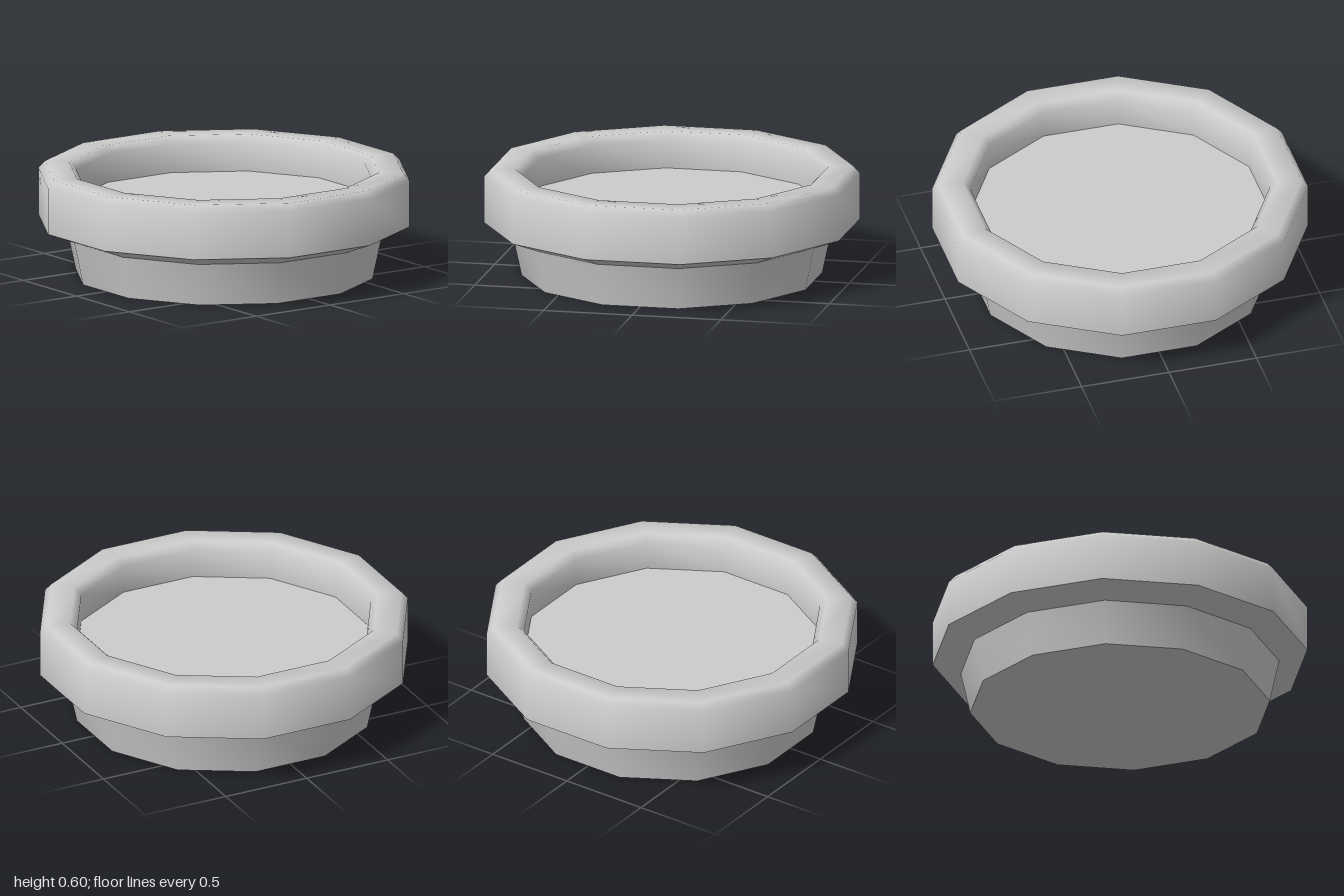
import * as THREE from 'three';
import { toCreasedNormals } from 'three/addons/utils/BufferGeometryUtils.js';

const SIDES = 12;
const HALF = Math.PI / SIDES;
const FLAT = 1 / Math.cos(HALF); // across-flats radius to corner radius

export function createModel() {
  const group = new THREE.Group();
  group.name = 'roundTray';
  const stone = new THREE.MeshStandardMaterial({ color: 0xcccccc });
  stone.name = 'light grey';

  const add = (name, geometry) => {
    const mesh = new THREE.Mesh(geometry, stone);
    mesh.name = name;
    group.add(mesh);
    return mesh;
  };

  // Twelve-sided shell from [radius, height] pairs, smooth except at sharp edges
  const ring = (name, profile) => {
    const points = profile.map(([r, y]) => new THREE.Vector2(r * FLAT, y));
    return add(name, toCreasedNormals(new THREE.LatheGeometry(points, SIDES, HALF), Math.PI / 3));
  };

  // Flat twelve-sided plate facing up (1) or down (-1)
  const disc = (name, radius, y, facing) => {
    const geometry = new THREE.CircleGeometry(radius * FLAT, SIDES, HALF);
    geometry.rotateX(-facing * Math.PI / 2);
    add(name, geometry).position.y = y;
  };

  // Tapered foot
  ring('foot', [[0.8, 0], [0.85, 0.24]]);
  disc('footUnderside', 0.8, 0, -1);

  // Overhanging rim with bevelled top edges and inner wall
  ring('rim', [
    [0.85, 0.24], [1, 0.3], [1, 0.56], [0.965, 0.6],
    [0.835, 0.6], [0.797, 0.56], [0.797, 0.4],
  ]);

  // Sunken floor
  disc('floor', 0.797, 0.4, 1);

  return group;
}
